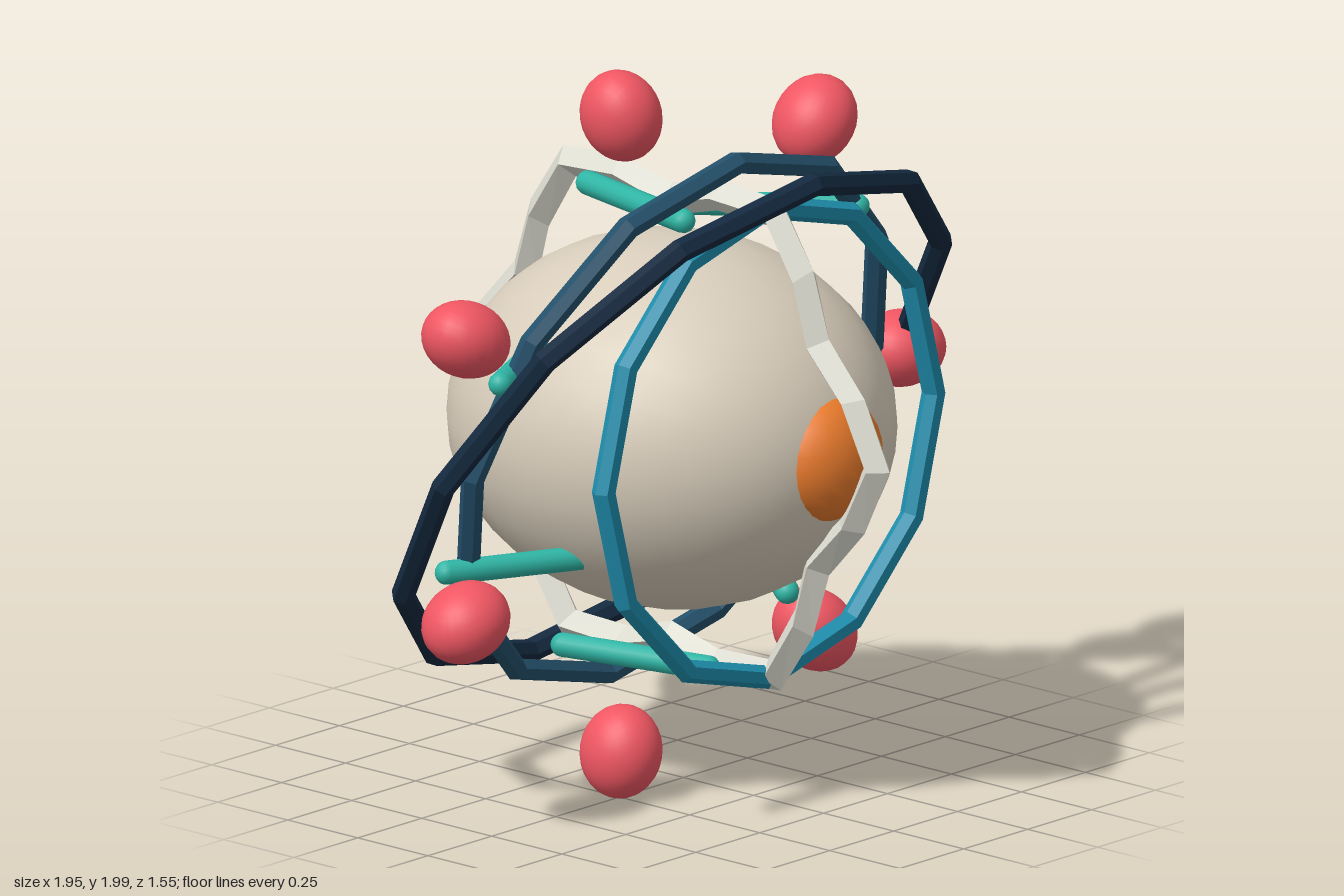
import * as THREE from 'three';

const mat = (color, flatShading = false) => new THREE.MeshStandardMaterial({ color, flatShading });

export function createModel() {
  const model = new THREE.Group();
  model.name = 'ringedOrb';
  const core = new THREE.Group();
  core.name = 'core';
  core.position.set(-0.045, 1, 0);
  model.add(core);

  const add = (name, geometry, material, parent = core) => {
    const mesh = new THREE.Mesh(geometry, material);
    mesh.name = name;
    parent.add(mesh);
    return mesh;
  };

  // Stretched central body, poles along z
  const bodyGeo = new THREE.SphereGeometry(1, 28, 20).rotateX(Math.PI / 2);
  add('body', bodyGeo, mat(0xd8cdbb)).scale.set(0.565, 0.5, 0.62);

  // Flattened dome at the front
  const eye = add('frontDome', new THREE.SphereGeometry(1, 20, 14), mat(0xe87a2c));
  eye.scale.set(0.172, 0.172, 0.125);
  eye.position.z = 0.553;

  // Three twelve-sided hoops, each larger and more tilted
  const hoops = [
    ['innerHoop', 0.645, 0, 0.345, 0x1f8fae],
    ['middleHoop', 0.78, 0.3, 0, 0x24506b],
    ['outerHoop', 0.895, 0.6, 0, 0x14293f],
  ];
  for (const [name, radius, tilt, z, color] of hoops) {
    const hoop = add(name, new THREE.TorusGeometry(radius, 0.032, 6, 12), mat(color, true));
    hoop.rotation.x = tilt;
    hoop.position.z = z;
  }

  // Wavy upright crest: a diamond-section ring pushed in and out six times
  const crestGeo = new THREE.TorusGeometry(0.667, 0.045, 4, 24);
  const pos = crestGeo.attributes.position;
  for (let i = 0; i < pos.count; i++) {
    const a = Math.atan2(pos.getY(i), pos.getX(i));
    const wave = 0.065 * Math.cos(6 * a);
    pos.setX(i, pos.getX(i) + wave * Math.cos(a));
    pos.setY(i, pos.getY(i) + wave * Math.sin(a));
  }
  crestGeo.rotateY(Math.PI / 2);
  crestGeo.computeVertexNormals();
  add('wavyCrest', crestGeo, mat(0xdadacf, true));

  // Seven rods, each swung about y by its own angle, with an oval bead further out
  const rodGeo = new THREE.CapsuleGeometry(0.033, 0.44, 6, 12).rotateZ(Math.PI / 2);
  const beadGeo = new THREE.SphereGeometry(1, 24, 16);
  const rodMat = mat(0x2fb5a5);
  const beadMat = mat(0xef5662);
  for (let i = 0; i < 7; i++) {
    const a = (i / 7) * Math.PI * 2;
    const rod = add('rod' + (i + 1), rodGeo, rodMat);
    rod.position.set(0.64 * Math.cos(a), 0.64 * Math.sin(a), 0);
    rod.rotation.y = -a;
    const bead = add('bead' + (i + 1), beadGeo, beadMat);
    bead.position.set(0.895 * Math.cos(a), 0.895 * Math.sin(a), 0);
    bead.rotation.z = a;
    bead.scale.set(0.126, 0.102, 0.115);
  }
  return model;
}
